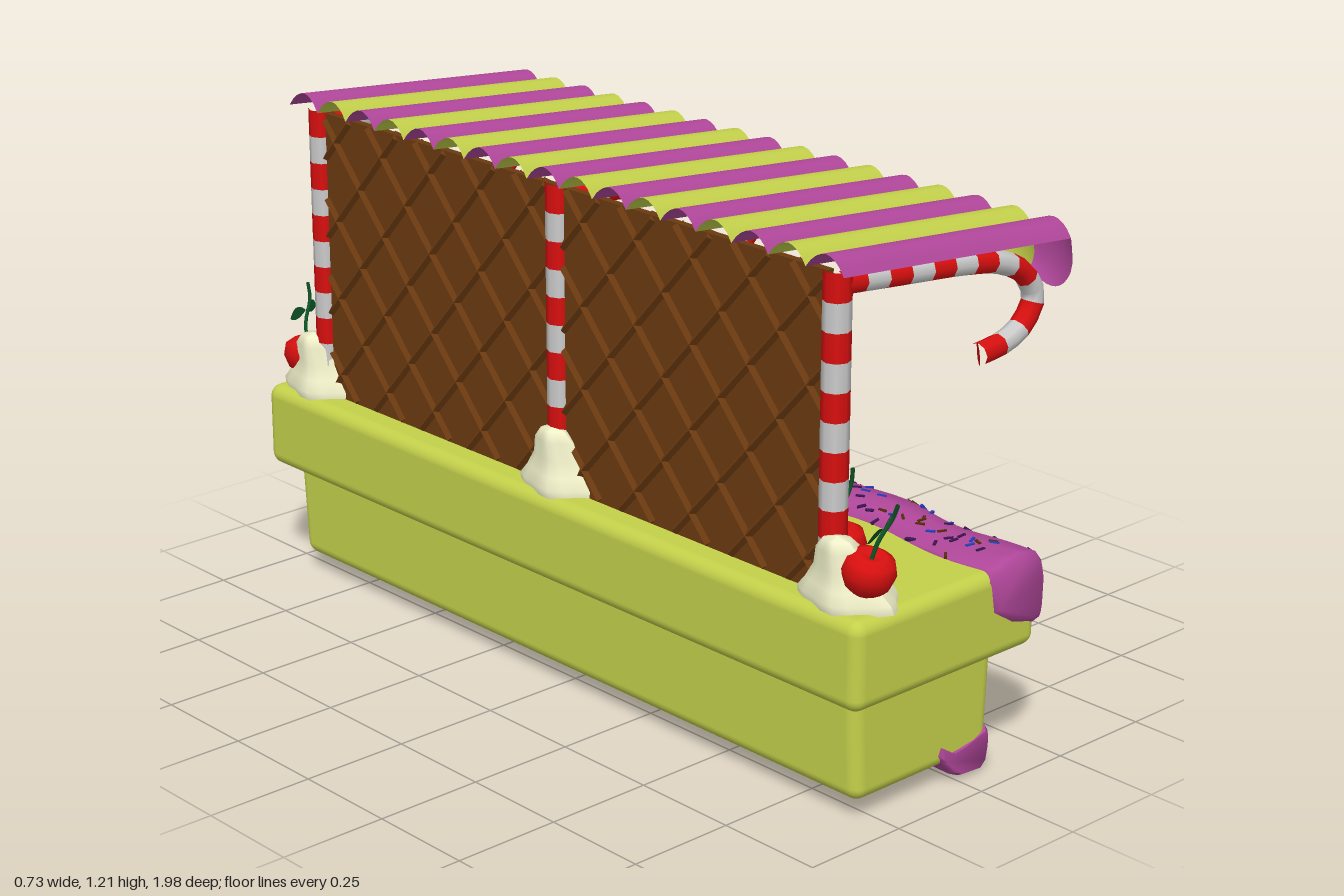
import * as THREE from 'three';
import { mergeGeometries, toCreasedNormals } from 'three/addons/utils/BufferGeometryUtils.js';
import { RoundedBoxGeometry } from 'three/addons/geometries/RoundedBoxGeometry.js';

const mat = (color, side = THREE.FrontSide) => new THREE.MeshStandardMaterial({ color, side });
const M = {
  lime: mat(0xc3d04a), icing: mat(0xb0479a), red: mat(0xd80f0f), white: mat(0xcccccc),
  brown: mat(0x6b3a10), darkBrown: mat(0x552c0a), cream: mat(0xeeeec8), green: mat(0x0f6a2c),
  yellow: mat(0xe6d21e), blue: mat(0x1f3fc0), plum: mat(0x3a1550),
  leaf: mat(0x0f5a28, THREE.DoubleSide),
  roofA: mat(0xb0479a, THREE.DoubleSide), roofB: mat(0xc3d04a, THREE.DoubleSide),
};
const v = (x, y, z) => new THREE.Vector3(x, y, z);

function add(parent, name, geo, material, x = 0, y = 0, z = 0) {
  const m = new THREE.Mesh(geo, material);
  m.name = name;
  m.position.set(x, y, z);
  parent.add(m);
  return m;
}
function group(parent, name, x = 0, y = 0, z = 0) {
  const g = new THREE.Group();
  g.name = name;
  g.position.set(x, y, z);
  parent.add(g);
  return g;
}
function buffer(pos, idx) {
  const g = new THREE.BufferGeometry();
  g.setAttribute('position', new THREE.Float32BufferAttribute(pos, 3));
  g.setIndex(idx);
  g.computeVertexNormals();
  return g;
}

// Solid through counter-clockwise [x, y] cross-sections placed along +z
function loft(section, zs) {
  const pos = [], idx = [], n = section(0).length, last = (zs.length - 1) * n;
  zs.forEach((z, i) => {
    const end = i === 0 || i === zs.length - 1;
    const pts = section(z), cx = pts.reduce((s, p) => s + p[0], 0) / n, cy = pts.reduce((s, p) => s + p[1], 0) / n;
    for (const [x, y] of pts) pos.push(end ? cx + (x - cx) * 0.86 : x, end ? cy + (y - cy) * 0.86 : y, z);
    if (i) for (let j = 0; j < n; j++) {
      const a = (i - 1) * n + j, b = (i - 1) * n + (j + 1) % n;
      idx.push(a, b, b + n, a, b + n, a + n);
    }
  });
  for (let j = 1; j < n - 1; j++) idx.push(0, j + 1, j, last, last + j, last + j + 1);
  return toCreasedNormals(buffer(pos, idx), 1);
}

// Candy cane: one tube split into alternating bands
function candyTube(parent, name, curve, bands, segs, radius) {
  const radial = 8, tube = new THREE.TubeGeometry(curve, bands * segs, radius, radial);
  const index = Array.from(tube.index.array), size = segs * radial * 6;
  [M.red, M.white].forEach((material, k) => {
    const part = tube.clone();
    part.setIndex(index.filter((_, i) => Math.floor(i / size) % 2 === k));
    add(parent, name + (k ? 'WhiteBands' : 'RedBands'), part, material);
  });
  const cap = add(parent, name + 'Tip', new THREE.CircleGeometry(radius, radial), M.red);
  cap.position.copy(curve.getPointAt(1));
  cap.lookAt(cap.position.clone().add(curve.getTangentAt(1)));
}

// Striped awning strip: an arched sheet that folds down into a rounded valance
function awningStrip(width) {
  const rows = [[-0.33, 1.175, 0.003, 0.036], [0.342, 1.116, 0.003, 0.036], [0.342, 1.116, 0.003, 0.036],
    [0.347, 1.09, 0.01, 0.02], [0.35, 1.06, 0.012, 0], [0.345, 1.04, 0.012, -0.018], [0.336, 1.03, 0.01, -0.03]];
  const n = 8, pos = [], idx = [];
  rows.forEach(([x, y, dx, dy], i) => {
    for (let j = 0; j <= n; j++) {
      const t = j / n, h = Math.sin(Math.PI * t) ** 0.8;
      pos.push(x + dx * h, y + dy * h, (t - 0.5) * width);
      if (i && j < n) {
        const a = (i - 1) * (n + 1) + j, b = a + n + 1;
        idx.push(a, a + 1, b + 1, a, b + 1, b);
      }
    }
  });
  return buffer(pos, idx);
}

// Arched outline: width 2r, from y0 to spring height plus a half circle
function arch(Kind, r, y0, spring) {
  const s = new Kind();
  s.moveTo(-r, y0).lineTo(r, y0).lineTo(r, spring).absarc(0, spring, r, 0, Math.PI, false);
  return s;
}

function buildWindow(parent, z) {
  const g = group(parent, 'window', -0.27, 0, z);
  g.rotation.y = Math.PI / 2;
  const spring = 0.845, y0 = 0.605;
  const frame = arch(THREE.Shape, 0.112, y0, spring);
  frame.holes.push(arch(THREE.Path, 0.094, y0 + 0.018, spring));
  add(g, 'windowFrame', new THREE.ExtrudeGeometry(frame, { depth: 0.022, bevelEnabled: false, curveSegments: 16 }), M.lime);
  add(g, 'windowPane', new THREE.ExtrudeGeometry(arch(THREE.Shape, 0.1, y0, spring), { depth: 0.01, bevelEnabled: false }), M.white);
  const bar = (w, h, x, y, rot = 0) => { add(g, 'windowBar', new THREE.BoxGeometry(w, h, 0.012), M.lime, x, y, 0.012).rotation.z = rot; };
  bar(0.2, 0.016, 0, 0.836);
  bar(0.018, 0.225, 0, 0.725);
  for (const s of [-1, 1]) {
    bar(0.009, 0.215, s * 0.083, 0.73);
    bar(0.01, 0.105, s * 0.031, 0.885, -s * 0.6);
  }
  // Candy beads around the opening
  const spots = [];
  for (let i = 0; i < 11; i++) for (const s of [-1, 1]) spots.push([s * 0.121, y0 + 0.004 + i * 0.0225, 0]);
  for (let i = 0; i <= 16; i++) {
    const a = i / 16 * Math.PI;
    spots.push([0.121 * Math.cos(a), spring + 0.006 + 0.121 * Math.sin(a), a]);
  }
  const colours = [M.red, M.green, M.yellow, M.red, M.blue, M.yellow, M.green];
  spots.forEach(([x, y, a], i) => {
    const b = add(g, 'candyBead', new THREE.SphereGeometry(0.012, 8, 6), colours[i % 7], x, y, 0);
    b.scale.set(1.3, 0.95, 2);
    b.rotation.z = a;
  });
}

function buildCherry(parent, x, y, z, tilt, stem) {
  const g = group(parent, 'cherry', x, y, z);
  g.rotation.x = tilt;
  const profile = [[0, -0.05], [0.028, -0.046], [0.05, -0.022], [0.058, 0.008], [0.05, 0.034], [0.03, 0.044], [0.012, 0.04], [0, 0.032]];
  add(g, 'cherryFruit', new THREE.LatheGeometry(profile.map(p => new THREE.Vector2(...p)), 18), M.red);
  if (!stem) return;
  const path = new THREE.CatmullRomCurve3([v(0, 0.03, 0), v(0.004, 0.08, 0.004), v(0.02, 0.13, 0.012), v(0.014, 0.17, 0.022)]);
  add(g, 'cherryStem', new THREE.TubeGeometry(path, 10, 0.0045, 6), M.leaf);
  const shape = new THREE.Shape();
  shape.moveTo(0, 0).quadraticCurveTo(0.034, -0.028, 0.058, -0.012).quadraticCurveTo(0.042, 0.03, 0, 0);
  for (const a of [0.5, 3.4]) {
    const l = add(g, 'cherryLeaf', new THREE.ShapeGeometry(shape), M.leaf, 0.008, 0.105, 0.005);
    l.rotation.set(0.2, a, 0.1);
  }
}

// Whipped dollop leaning back against its post
function dollop() {
  const prof = [[0.1, 0], [0.098, 0.02], [0.078, 0.045], [0.056, 0.08], [0.045, 0.12], [0.028, 0.143], [0, 0.15]];
  const g = new THREE.LatheGeometry(prof.map(p => new THREE.Vector2(...p)), 20), p = g.attributes.position;
  for (let i = 0; i < p.count; i++) {
    const a = Math.atan2(p.getZ(i), p.getX(i)), k = 1 + 0.08 * Math.sin(a * 5);
    p.setXYZ(i, p.getX(i) * k * 0.9 - p.getY(i) * 0.3, p.getY(i), p.getZ(i) * k * 1.1);
  }
  g.computeVertexNormals();
  return g;
}

export function createModel() {
  const model = new THREE.Group();
  model.name = 'candyStall';

  // Counter
  add(model, 'counterTop', new RoundedBoxGeometry(0.545, 0.2, 1.96, 4, 0.03), M.lime, -0.0925, 0.38, 0);
  const base = new RoundedBoxGeometry(0.41, 0.25, 1.86, 4, 0.03), bp = base.attributes.position;
  for (let i = 0; i < bp.count; i++) bp.setX(i, bp.getX(i) * (1 + bp.getY(i) * 0.25));
  add(model, 'counterBase', base, M.lime, -0.105, 0.172, 0);

  // Dripping icing on the top and bottom edges
  const steps = (half, n) => Array.from({ length: n + 1 }, (_, i) => {
    const z = half * (2 * i / n - 1);
    return i === 1 ? -half + 0.012 : i === n - 1 ? half - 0.012 : z;
  });
  const topSection = z => {
    const low = 0.375 + 0.018 * Math.sin(z * 17 + 1) + 0.013 * Math.sin(z * 31), inn = 0.038 + 0.014 * Math.sin(z * 13);
    const t = 0.497 + 0.007 * Math.sin(z * 11 + 2), o = 0.194 + 0.006 * Math.sin(z * 23);
    return [[inn, 0.39], [0.1, low + 0.005], [0.165, low - 0.012], [o - 0.004, low - 0.006], [o, low + 0.015], [o + 0.002, 0.435],
      [o - 0.006, 0.47], [o - 0.025, t - 0.004], [0.12, t + 0.005], [0.07, t], [inn, 0.485], [inn - 0.012, 0.46]];
  };
  add(model, 'topIcing', loft(topSection, steps(0.99, 110)), M.icing);
  const lowSection = z => {
    const t = 0.098 + 0.018 * Math.cos((z - 0.1) * 9) + 0.01 * Math.sin(z * 5), b = 0.02 + 0.012 * Math.sin(z * 4 + 0.4);
    return [[-0.05, 0.06], [-0.02, b + 0.014], [0.01, b], [0.075, b - 0.004], [0.092, b + 0.012], [0.099, 0.06],
      [0.099, t - 0.008], [0.09, t + 0.006], [0.05, t - 0.01], [-0.02, t - 0.02], [-0.06, 0.1], [-0.068, 0.08]];
  };
  add(model, 'bottomIcing', loft(lowSection, steps(0.935, 70)), M.icing);

  // Sprinkles
  let seed = 7;
  const rnd = () => (seed = (seed * 16807) % 2147483647) / 2147483647;
  for (const [k, material] of [M.plum, M.darkBrown, M.blue].entries()) {
    const bits = [];
    for (let i = 0; i < 75; i++) {
      const z = (rnd() * 2 - 1) * 0.97, s = topSection(z), j = 4 + Math.floor(rnd() * 6), t = rnd();
      const g = new THREE.BoxGeometry(0.006, 0.006, 0.02);
      const tilt = Math.atan2(s[j + 1][1] - s[j][1], s[j + 1][0] - s[j][0]);
      g.rotateY(rnd() * Math.PI).rotateZ(tilt);
      bits.push(g.translate(s[j][0] + (s[j + 1][0] - s[j][0]) * t, s[j][1] + (s[j + 1][1] - s[j][1]) * t, z));
    }
    add(model, 'sprinkles' + (k + 1), mergeGeometries(bits), material);
  }

  // Waffle wall with crossing ridges clipped to its rectangle
  const y0 = 0.48, y1 = 1.165, half = 0.81, slope = 1.1;
  add(model, 'waffleWall', new THREE.BoxGeometry(0.018, y1 - y0, half * 2), M.brown, -0.285, (y0 + y1) / 2, 0);
  const ridges = [];
  for (const s of [-1, 1]) for (let c = -1.53; c < 1.6; c += 0.17) {
    const za = Math.max(-half, c - (y1 - y0) / 2 / slope), zb = Math.min(half, c + (y1 - y0) / 2 / slope);
    if (zb - za < 0.02) continue;
    const zm = (za + zb) / 2, ang = Math.atan(slope) * s;
    const g = new THREE.BoxGeometry(0.026, 0.026, (zb - za) * Math.hypot(1, slope) - 0.015);
    g.rotateZ(Math.PI / 4).rotateX(-ang);
    ridges.push(g.translate(-0.285, (y0 + y1) / 2 + s * slope * (zm - c), zm));
  }
  add(model, 'waffleRidges', mergeGeometries(ridges), M.brown);
  for (const z of [0.41, -0.41]) buildWindow(model, z);

  // Candy cane posts with hooked arms and cream at their feet
  for (const z of [0.83, 0, -0.83]) {
    const g = group(model, 'candyCane', 0, 0, z);
    candyTube(g, 'post', new THREE.LineCurve3(v(-0.285, 1.17, 0), v(-0.285, 0.4825, 0)), 11, 1, 0.03);
    const arm = [[-0.285, 1.14], [-0.1, 1.121], [0.1, 1.1], [0.19, 1.083], [0.265, 1.045], [0.3, 0.985], [0.265, 0.93], [0.21, 0.905], [0.135, 0.896]];
    candyTube(g, 'arm', new THREE.CatmullRomCurve3(arm.map(([x, y]) => v(x, y, 0))), 13, 2, 0.025);
    add(model, 'creamDollop', dollop(), M.cream, -0.262, 0.475, z * 1.04);
  }

  // Cherries
  buildCherry(model, -0.28, 0.555, 0.925, 0.25, true);
  buildCherry(model, -0.2, 0.545, 0.765, 0, true);
  buildCherry(model, -0.19, 0.545, 0.015, 0, false);
  buildCherry(model, -0.2, 0.54, -0.73, 0.4, false);
  buildCherry(model, -0.2, 0.545, -0.825, 0, true);
  buildCherry(model, -0.28, 0.55, -0.92, -0.2, true);

  // Awning
  const count = 17, w = 1.78 / count, strip = awningStrip(w), awning = group(model, 'awning');
  for (let i = 0; i < count; i++) add(awning, 'awningStrip', strip, i % 2 ? M.roofB : M.roofA, 0, 0, (i - 8) * w);
  return model;
}
